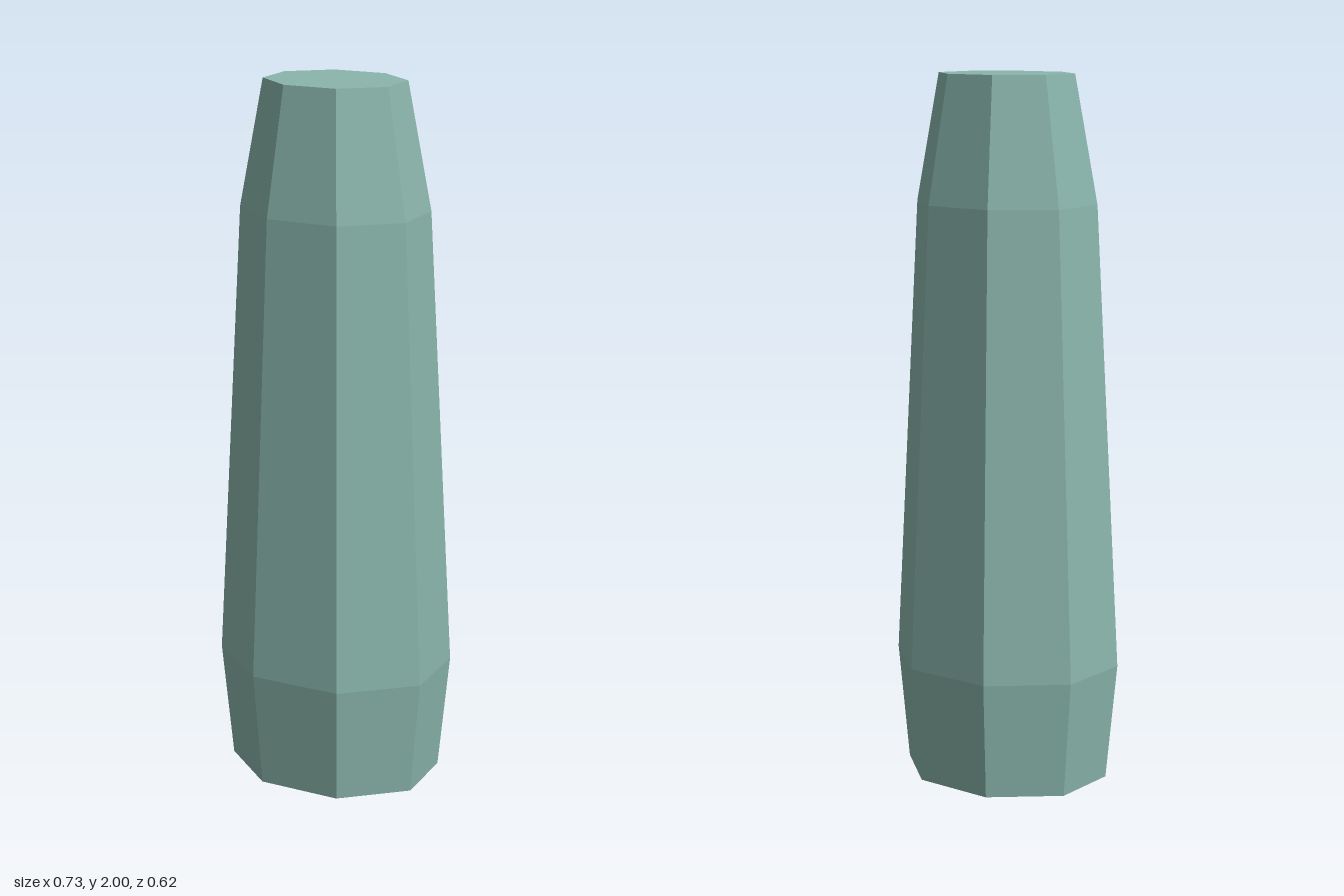
import * as THREE from 'three';

const SIDES = 8;
const DEPTH_RATIO = 0.85; // slightly flattened front to back

// Radius and height of each ring, closed on the axis at both ends
const PROFILE = [
  [0, 0],
  [0.327, 0],
  [0.363, 0.33],
  [0.29, 1.64],
  [0.218, 2],
  [0, 2],
];

export function createModel() {
  const model = new THREE.Group();
  model.name = 'taperedPillar';

  const paleTeal = new THREE.MeshStandardMaterial({ color: 0x8ab6ac });
  paleTeal.name = 'pale teal';

  // Eight-sided tapered body with flat facets
  const points = PROFILE.map(([r, y]) => new THREE.Vector2(r, y));
  const lathe = new THREE.LatheGeometry(points, SIDES);
  lathe.scale(1, 1, DEPTH_RATIO);
  const geometry = lathe.toNonIndexed();
  geometry.computeVertexNormals();

  const body = new THREE.Mesh(geometry, paleTeal);
  body.name = 'body';
  model.add(body);

  return model;
}
